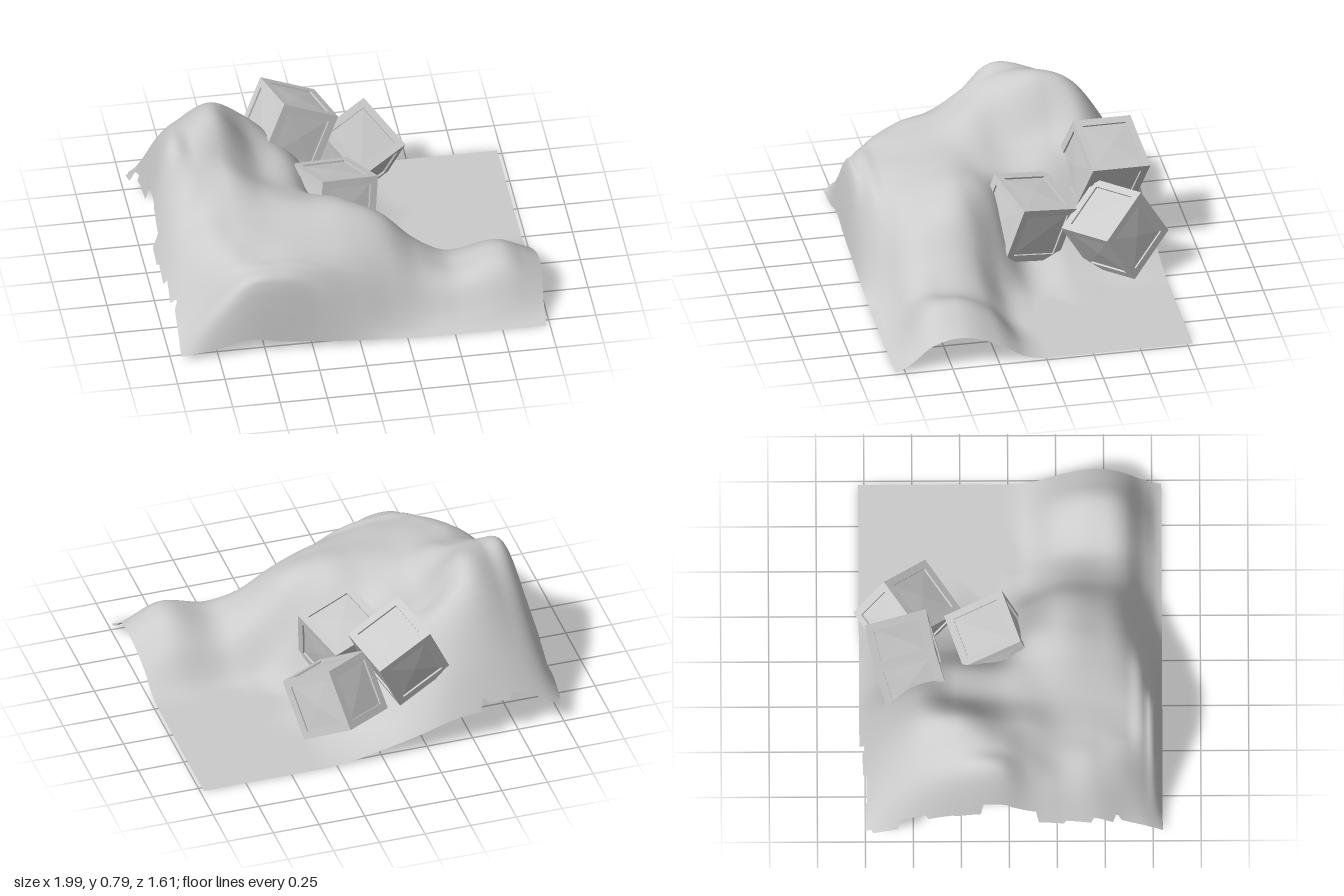
import * as THREE from 'three';

const SIZE = 0.33;
const grey = new THREE.MeshStandardMaterial({ color: 0xcccccc });
const greyTwoSided = new THREE.MeshStandardMaterial({ color: 0xcccccc, side: THREE.DoubleSide });

// Coarse height map: columns along x, one row per z
const XS = [-1, -0.9, -0.75, -0.6, -0.4, -0.2, 0, 0.2, 0.35, 0.5, 0.83, 0.98];
const ZS = [-0.78, -0.65, -0.47, -0.28, -0.03, 0.1, 0.25, 0.45, 0.62, 0.71, 0.775, 0.8];
const HEIGHTS = [
  [0.08, 0.12, 0.17, 0.18, 0.16, 0.10, 0.05, 0.01, 0, 0, 0, 0],
  [0.14, 0.28, 0.39, 0.43, 0.38, 0.22, 0.09, 0.02, 0, 0, 0, 0],
  [0.21, 0.47, 0.63, 0.71, 0.60, 0.39, 0.16, 0.03, 0, 0, 0, 0],
  [0.27, 0.61, 0.74, 0.79, 0.57, 0.46, 0.20, 0.05, 0.01, 0, 0, 0],
  [0.29, 0.66, 0.72, 0.69, 0.53, 0.45, 0.22, 0.07, 0.01, 0, 0, 0],
  [0.26, 0.52, 0.64, 0.64, 0.55, 0.49, 0.43, 0.24, 0.07, 0.02, 0.03, 0.02],
  [0.24, 0.44, 0.55, 0.57, 0.54, 0.53, 0.52, 0.42, 0.26, 0.16, 0.18, 0.11],
  [0.19, 0.36, 0.50, 0.52, 0.51, 0.50, 0.48, 0.41, 0.29, 0.21, 0.27, 0.18],
  [0.08, 0.21, 0.39, 0.47, 0.47, 0.44, 0.38, 0.28, 0.20, 0.17, 0.21, 0.13],
  [0.05, 0.13, 0.28, 0.42, 0.44, 0.38, 0.25, 0.12, 0.07, 0.06, 0.08, 0.05],
  [0.03, 0.06, 0.17, 0.30, 0.31, 0.19, 0.09, 0.03, 0.01, 0.01, 0.01, 0.01],
  [0.02, 0.03, 0.05, 0.09, 0.06, 0.04, 0.02, 0.01, 0, 0, 0, 0],
];

// Smooth interpolation through uneven knots, flat next to level stretches
function spline(knots, values, t) {
  const n = knots.length;
  let i = 0;
  while (i < n - 2 && t > knots[i + 1]) i++;
  const slope = (k) => (values[k + 1] - values[k]) / (knots[k + 1] - knots[k]);
  const tangent = (k) => {
    if (k === 0) return slope(0);
    if (k === n - 1) return slope(n - 2);
    const a = slope(k - 1), b = slope(k);
    if (a === 0 || b === 0) return 0;
    const before = knots[k] - knots[k - 1], after = knots[k + 1] - knots[k];
    return (a * after + b * before) / (before + after);
  };
  const h = knots[i + 1] - knots[i];
  const s = (t - knots[i]) / h, s2 = s * s, s3 = s2 * s;
  return (2 * s3 - 3 * s2 + 1) * values[i] + (s3 - 2 * s2 + s) * h * tangent(i)
    + (3 * s2 - 2 * s3) * values[i + 1] + (s3 - s2) * h * tangent(i + 1);
}

const heightAt = (x, z) => spline(ZS, HEIGHTS.map((row) => spline(XS, row, x)), z);

// Stepped, repeatable value in 0..1 for the torn borders
const step = (t) => {
  const v = Math.sin(Math.floor(t * 7) * 12.99 + 4.1) * 437.58;
  return v - Math.floor(v);
};

function buildGround() {
  const geometry = new THREE.PlaneGeometry(1.98, 1.58, 120, 110);
  geometry.rotateX(-Math.PI / 2);
  geometry.translate(-0.01, 0, 0.01);
  const p = geometry.attributes.position;
  for (let i = 0; i < p.count; i++) {
    // Ragged left and back borders
    let x = p.getX(i), z = p.getZ(i);
    x = Math.max(x, -1 + 0.04 * step(z) + (z > 0.55 ? 0.03 : 0));
    if (x < -0.55) z = Math.max(z, -0.78 + 0.04 * step(x + 3));
    const y = Math.max(0, heightAt(x, z));
    // Right-hand end swells outwards a little
    const swell = x > 0.9 ? 0.02 * ((x - 0.9) / 0.08) * Math.exp(-(((z - 0.45) / 0.2) ** 2)) : 0;
    p.setXYZ(i, x + swell, y, z);
  }
  geometry.computeVertexNormals();
  const ground = new THREE.Mesh(geometry, greyTwoSided);
  ground.name = 'hillyGround';
  return ground;
}

// Crate placed by its centre and two of its edge directions
function buildCrate(name, centre, edgeA, edgeB) {
  const crate = new THREE.Group();
  crate.name = name;
  const beam = 0.04, inner = SIZE - 2 * beam, panelDepth = 0.01;
  const add = (geometry, part) => {
    const mesh = new THREE.Mesh(geometry, grey);
    mesh.name = part;
    crate.add(mesh);
    return mesh;
  };
  const core = SIZE - 2 * panelDepth;
  add(new THREE.BoxGeometry(core, core, core), 'crateCore');

  // Twelve frame beams, four along each axis
  const off = (SIZE - beam) / 2;
  for (let axis = 0; axis < 3; axis++) {
    for (const a of [-off, off]) {
      for (const b of [-off, off]) {
        const size = [beam, beam, beam], pos = [0, 0, 0];
        size[axis] = axis === 0 ? SIZE : inner;
        pos[(axis + 1) % 3] = a;
        pos[(axis + 2) % 3] = b;
        add(new THREE.BoxGeometry(...size), 'frameBeam').position.set(...pos);
      }
    }
  }

  // Shallow four-part panel inside each frame, folded along its diagonals
  const panelSide = inner - 0.016;
  const panel = new THREE.ConeGeometry(panelSide / Math.SQRT2, 0.006, 4, 1, true).toNonIndexed();
  panel.rotateY(Math.PI / 4);
  panel.computeVertexNormals();
  panel.translate(0, core / 2 + 0.004, 0);
  for (const [rx, rz] of [[0, 0], [1, 0], [2, 0], [3, 0], [0, 1], [0, 3]]) {
    add(panel, 'sidePanel').rotation.set(rx * Math.PI / 2, 0, rz * Math.PI / 2);
  }

  const x = new THREE.Vector3(...edgeA).normalize();
  const z = x.clone().cross(new THREE.Vector3(...edgeB)).normalize();
  const y = z.clone().cross(x);
  crate.quaternion.setFromRotationMatrix(new THREE.Matrix4().makeBasis(x, y, z));
  crate.position.set(...centre);
  return crate;
}

export function createModel() {
  const model = new THREE.Group();
  model.name = 'cratesOnHill';
  model.add(
    buildGround(),
    buildCrate('middleCrate', [0, 0.292, -0.088], [-0.113, -0.08, -0.3], [-0.32, 0.07, 0.11]),
    buildCrate('upperCrate', [-0.168, 0.478, -0.53], [-0.075, -0.043, -0.32], [0.29, -0.15, -0.07]),
    buildCrate('lowerCrate', [0.18, 0.27, -0.525], [-0.07, -0.291, -0.166], [0.176, -0.165, 0.205]),
  );
  return model;
}
